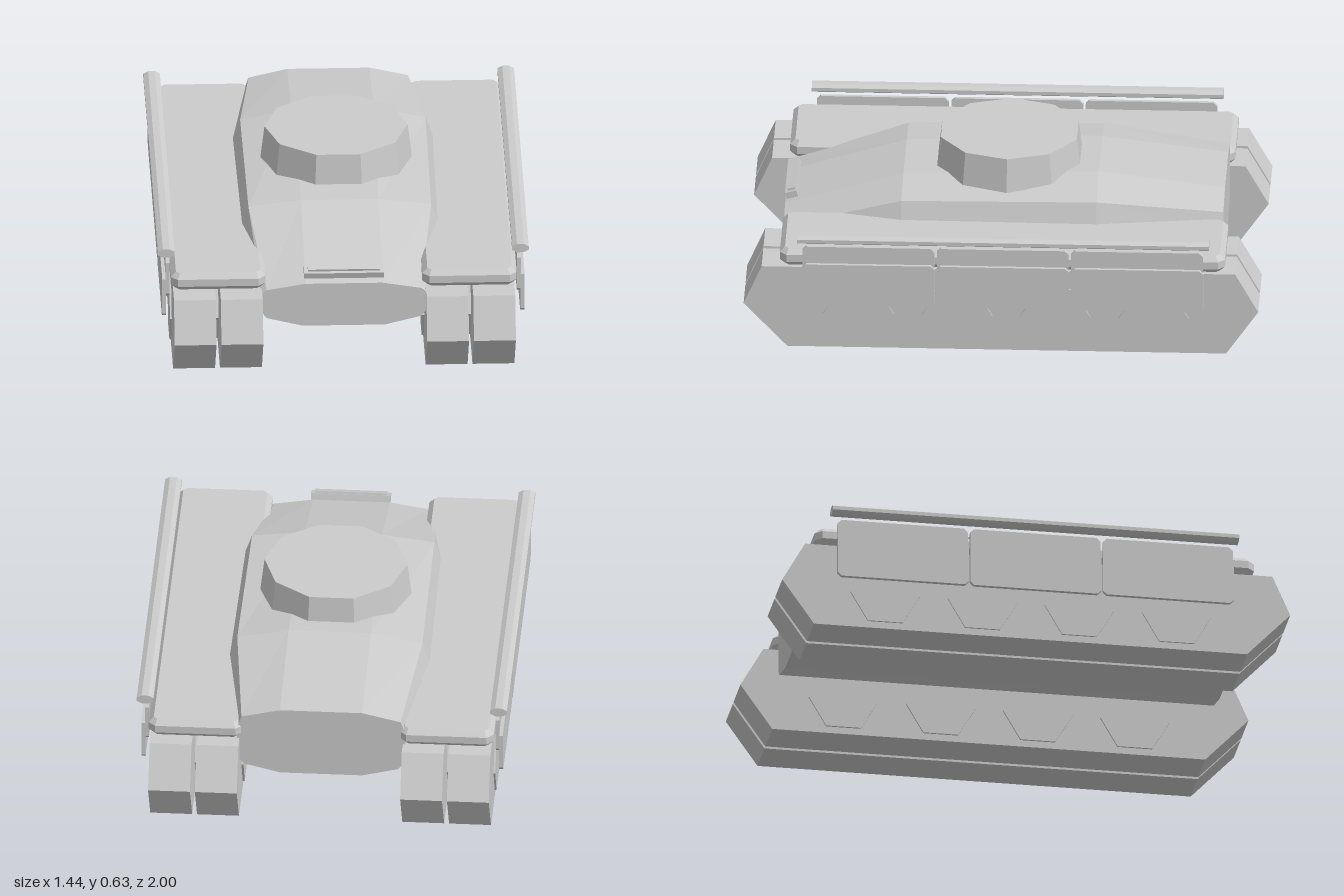
import * as THREE from 'three';

const material = new THREE.MeshStandardMaterial({ color: 0xcccccc, flatShading: true });

function add(parent, name, geometry, x = 0, y = 0, z = 0) {
  const mesh = new THREE.Mesh(geometry, material);
  mesh.name = name;
  mesh.position.set(x, y, z);
  parent.add(mesh);
  return mesh;
}

// Profile given as [z, y], extruded along x from 0 to width
function sideExtrude(profile, width) {
  const shape = new THREE.Shape(profile.map(([z, y]) => new THREE.Vector2(-z, y)));
  return new THREE.ExtrudeGeometry(shape, { depth: width, bevelEnabled: false }).rotateY(Math.PI / 2);
}

// Rectangle with clipped corners, as a list of points
function clippedRect(a0, a1, b0, b1, c) {
  return [[a0 + c, b0], [a1 - c, b0], [a1, b0 + c], [a1, b1 - c],
    [a1 - c, b1], [a0 + c, b1], [a0, b1 - c], [a0, b0 + c]];
}

// Hull skinned over half sections, listed bottom to top and mirrored
function hullGeometry() {
  const sections = [
    [0.86, [[0.16, 0.19], [0.30, 0.225], [0.32, 0.25], [0.32, 0.33], [0.30, 0.345], [0.15, 0.37]]],
    [0.40, [[0.16, 0.19], [0.30, 0.225], [0.36, 0.28], [0.385, 0.40], [0.355, 0.485], [0.15, 0.51]]],
    [-0.36, [[0.16, 0.19], [0.30, 0.225], [0.36, 0.28], [0.39, 0.41], [0.36, 0.495], [0.16, 0.535]]],
    [-0.85, [[0.16, 0.19], [0.30, 0.225], [0.32, 0.25], [0.33, 0.38], [0.31, 0.44], [0.16, 0.475]]],
  ].map(([z, half]) => [...half, ...half.map(([x, y]) => [-x, y]).reverse()].map(([x, y]) => [x, y, z]));
  const n = sections[0].length;
  const last = sections.length - 1;
  const out = [];
  for (let s = 0; s < last; s++) {
    for (let i = 0; i < n; i++) {
      const j = (i + 1) % n;
      const [f, r] = [sections[s], sections[s + 1]];
      out.push(...f[i], ...r[i], ...f[j], ...r[i], ...r[j], ...f[j]);
    }
  }
  for (let i = 1; i < n - 1; i++) {
    out.push(...sections[0][0], ...sections[0][i], ...sections[0][i + 1]);
    out.push(...sections[last][0], ...sections[last][i + 1], ...sections[last][i]);
  }
  const geometry = new THREE.BufferGeometry();
  geometry.setAttribute('position', new THREE.Float32BufferAttribute(out, 3));
  geometry.computeVertexNormals();
  return geometry;
}

// Mudguard slab: clipped plan with a chamfer round top and bottom
function fenderGeometry() {
  const b = 0.02;
  const plan = clippedRect(0.305 + b, 0.672 - b, -0.86 + b, 0.87 - b, 0.015);
  const shape = new THREE.Shape(plan.map(([x, z]) => new THREE.Vector2(x, z)));
  return new THREE.ExtrudeGeometry(shape, {
    depth: 0.03, bevelEnabled: true, bevelThickness: b, bevelSize: b, bevelSegments: 1,
  }).rotateX(-Math.PI / 2).translate(0, 0.365, 0);
}

export function createModel() {
  const model = new THREE.Group();
  model.name = 'armouredVehicle';

  add(model, 'hull', hullGeometry());

  // Ten-sided turret with a corner on each side
  const turret = new THREE.CylinderGeometry(0.278, 0.298, 0.165, 10).rotateY(Math.PI / 2);
  add(model, 'turret', turret, 0, 0.5525, -0.007);

  // Small plate on the nose
  const plate = new THREE.Group();
  plate.name = 'nosePlate';
  plate.position.set(0, 0.408, 0.835);
  plate.rotation.x = 0.28;
  add(plate, 'plateBase', new THREE.BoxGeometry(0.31, 0.026, 0.046));
  add(plate, 'plateTop', new THREE.BoxGeometry(0.28, 0.012, 0.03), 0, 0.016, -0.004);
  model.add(plate);

  const trackProfile = [[1, 0.18], [0.93, 0.34], [-0.91, 0.34], [-1, 0.18], [-0.875, 0], [0.83, 0]];
  const track = sideExtrude(trackProfile, 0.163);
  const wheel = new THREE.CylinderGeometry(0.137, 0.137, 0.36, 6).rotateZ(Math.PI / 2);
  const fender = fenderGeometry();
  const rail = new THREE.CylinderGeometry(0.035, 0.035, 1.6, 8, 1, false, Math.PI / 8)
    .rotateX(Math.PI / 2).scale(1, 0.55, 1);
  const upperPanel = sideExtrude(clippedRect(-0.256, 0.256, 0.28, 0.44, 0.015), 0.015);
  const lowerPanel = sideExtrude(clippedRect(-0.258, 0.258, 0.195, 0.37, 0.015), 0.016);

  // Each running gear is built on +x; the other is the same one mirrored
  for (const [side, sign] of [['left', 1], ['right', -1]]) {
    const gear = new THREE.Group();
    gear.name = side + 'RunningGear';
    gear.scale.x = sign;

    add(gear, 'innerTrack', track, 0.318);
    add(gear, 'outerTrack', track, 0.5);
    for (const z of [0.552, 0.17, -0.212, -0.595]) add(gear, 'roadWheel', wheel, 0.49, 0.146, z);
    add(gear, 'fender', fender);

    // Skirt of three overlapping panel pairs
    for (const z of [0.514, -0.008, -0.53]) {
      add(gear, 'upperSkirtPanel', upperPanel, 0.675, 0, z);
      add(gear, 'lowerSkirtPanel', lowerPanel, 0.688, 0, z);
    }
    add(gear, 'sideRail', rail, 0.688, 0.476, -0.01);
    model.add(gear);
  }
  return model;
}
